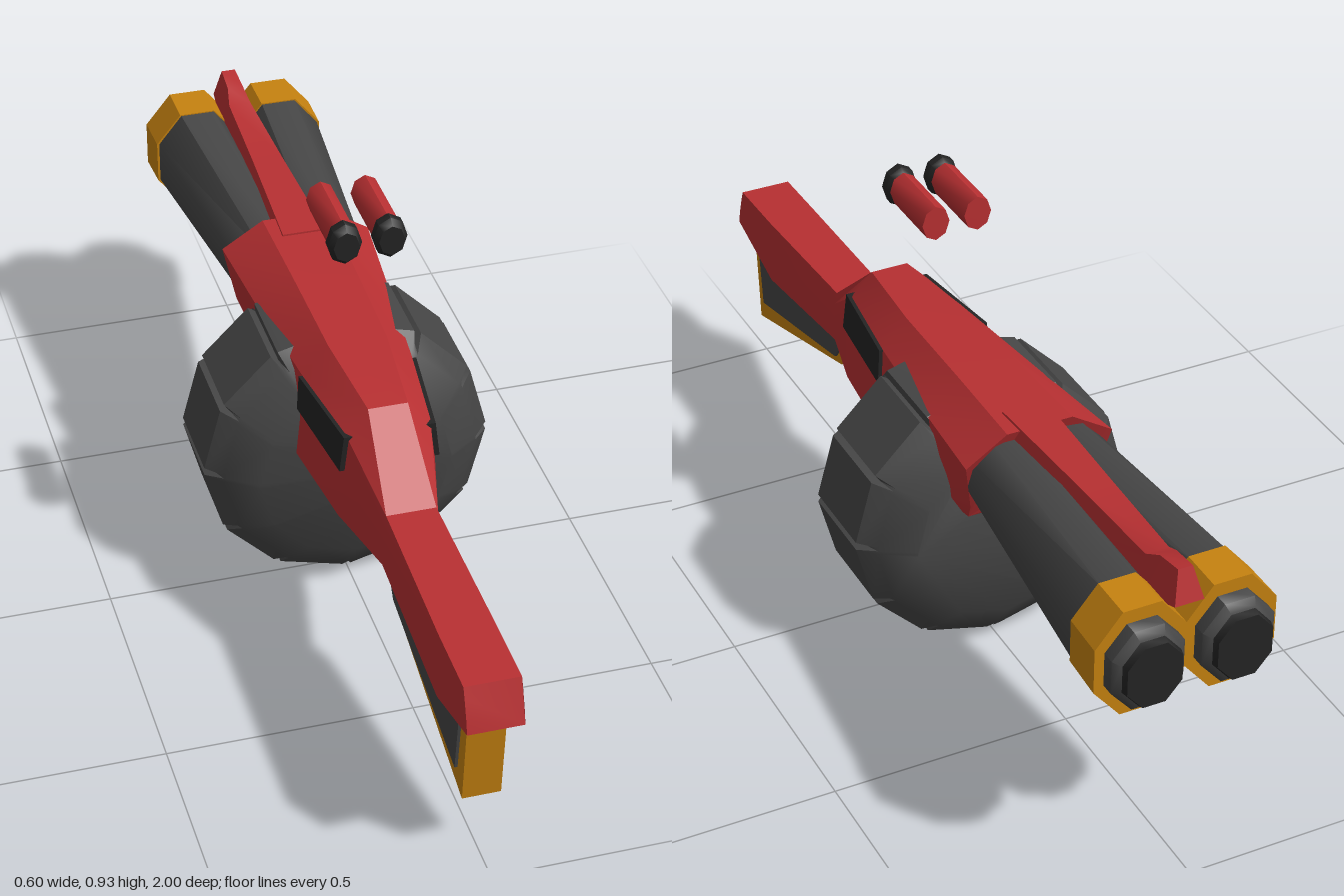
import * as THREE from 'three';
import { toCreasedNormals } from 'three/addons/utils/BufferGeometryUtils.js';

const mat = (name, color, side = THREE.FrontSide) => {
  const m = new THREE.MeshStandardMaterial({ color, side });
  m.name = name;
  return m;
};

// Skin a list of rings (counter-clockwise seen from +z, ordered from +z to -z), capped at both ends
function loft(rings, crease = 0.5) {
  const n = rings[0].length, index = [];
  for (let s = 0; s < rings.length - 1; s++) {
    for (let i = 0; i < n; i++) {
      const a = s * n + i, b = s * n + (i + 1) % n;
      index.push(a, a + n, b + n, a, b + n, b);
    }
  }
  const last = (rings.length - 1) * n;
  for (let i = 1; i < n - 1; i++) index.push(0, i, i + 1, last, last + i + 1, last + i);
  const g = new THREE.BufferGeometry();
  g.setAttribute('position', new THREE.Float32BufferAttribute(rings.flat(2), 3));
  g.setIndex(index);
  return toCreasedNormals(g, crease);
}

// Mirror half-section points [halfWidth, y, z], bottom to top, into a closed ring
const mirrored = (half) => [
  ...half,
  ...half.map(([w, y, z]) => [-w, y, z]).reverse(),
];

// Eight-sided oval ring; turn = 0.5 gives flat top and sides
function oval(cx, cy, rx, ry, z, turn = 0.5) {
  const k = turn ? 1 / Math.cos(Math.PI / 8) : 1;
  return Array.from({ length: 8 }, (_, i) => {
    const a = (i + turn) * Math.PI / 4;
    return [cx + rx * k * Math.cos(a), cy + ry * k * Math.sin(a), z];
  });
}

// Side outline of [z, y] points, given thickness across x
function sidePlate(points, halfWidth, hole) {
  const toV = ([z, y]) => new THREE.Vector2(-z, y);
  const shape = new THREE.Shape(points.map(toV));
  if (hole) shape.holes.push(new THREE.Path(hole.map(toV)));
  const g = new THREE.ExtrudeGeometry(shape, { depth: 2 * halfWidth, bevelEnabled: false });
  g.translate(0, 0, -halfWidth);
  g.rotateY(Math.PI / 2);
  return g;
}

export function createModel() {
  const red = mat('red', 0xb83032);
  const grey = mat('dark grey', 0x464646);
  const black = mat('black', 0x242424);
  const gold = mat('gold', 0xc68210);
  const root = new THREE.Group();
  const add = (name, geometry, material) => {
    const m = new THREE.Mesh(geometry, material);
    m.name = name;
    root.add(m);
    return m;
  };

  // Receiver and upper stock in one skin
  add('receiver', loft([
    [[0.055, 0.36, 1.0], [0.055, 0.39, 0.993], [0.055, 0.43, 0.98], [0.055, 0.45, 0.972]],
    [[0.055, 0.305, 0.82], [0.055, 0.36, 0.82], [0.055, 0.42, 0.82], [0.055, 0.453, 0.82]],
    [[0.057, 0.35, 0.47], [0.057, 0.40, 0.47], [0.055, 0.44, 0.47], [0.05, 0.465, 0.47]],
    [[0.10, 0.362, 0.31], [0.096, 0.47, 0.31], [0.086, 0.555, 0.31], [0.04, 0.603, 0.31]],
    [[0.127, 0.37, 0.1], [0.117, 0.47, 0.1], [0.113, 0.555, 0.1], [0.06, 0.616, 0.1]],
    [[0.12, 0.375, -0.15], [0.13, 0.47, -0.15], [0.138, 0.56, -0.15], [0.065, 0.622, -0.15]],
    [[0.10, 0.375, -0.265], [0.135, 0.46, -0.345], [0.157, 0.57, -0.37], [0.07, 0.625, -0.37]],
  ].map(mirrored)), red);

  // Top rib rising to the front sight
  add('topRib', loft([
    [[0.065, 0.55, -0.3], [0.045, 0.628, -0.3]],
    [[0.045, 0.55, -0.6], [0.032, 0.633, -0.6]],
    [[0.036, 0.56, -0.83], [0.024, 0.636, -0.83]],
    [[0.034, 0.57, -0.87], [0.017, 0.657, -0.87]],
    [[0.03, 0.6, -0.952], [0.015, 0.666, -0.932]],
  ].map(mirrored)), red);

  // Lower stock: gold frame with grey inlays
  add('stockFrame', sidePlate([[0.95, 0.35], [0.93, 0.145], [0.48, 0.275], [0.41, 0.36], [0.47, 0.39], [0.82, 0.34]], 0.038), gold);
  const inlay = [[0.918, 0.333], [0.9, 0.197], [0.502, 0.285], [0.455, 0.355], [0.82, 0.32]];
  add('stockInlay', sidePlate(inlay, 0.044), grey);

  // Trigger and its guard
  add('trigger', sidePlate([[0.41, 0.37], [0.36, 0.295], [0.26, 0.38]], 0.02), black);
  add('triggerGuard', sidePlate([
    [0.48, 0.315], [0.47, 0.285], [0.22, 0.228], [0.15, 0.247], [0.09, 0.37],
    [0.115, 0.37], [0.165, 0.268], [0.22, 0.252], [0.46, 0.308],
  ], 0.017), grey);

  for (const side of [1, -1]) {
    const label = side > 0 ? 'left' : 'right';
    // Dark side ports following the taper of the receiver
    const port = (z, low, high) => {
      const outer = [[low + 0.008, 0.478, z], [high + 0.008, 0.555, z]];
      const ring = [[low - 0.02, 0.478, z], ...outer, [high - 0.02, 0.555, z]];
      return side > 0 ? ring : ring.map(([x, y, zz]) => [-x, y, zz]).reverse();
    };
    add(label + 'Port', loft([port(0.325, 0.093, 0.084), port(0.1, 0.117, 0.113)]), black);

    // Flared barrel, gold muzzle band and muzzle plug
    add(label + 'Barrel', loft([
      oval(side * 0.058, 0.525, 0.072, 0.074, -0.28),
      oval(side * 0.092, 0.507, 0.088, 0.109, -0.86),
    ], 0.85), grey);
    add(label + 'MuzzleBand', loft([
      oval(side * 0.092, 0.507, 0.092, 0.111, -0.85),
      oval(side * 0.092, 0.503, 0.094, 0.115, -0.945),
    ], 0.5), gold);
    add(label + 'MuzzleRim', loft([
      oval(side * 0.092, 0.503, 0.074, 0.087, -0.93),
      oval(side * 0.092, 0.503, 0.074, 0.087, -0.972),
      oval(side * 0.092, 0.503, 0.062, 0.074, -0.985),
    ], 0.85), grey);
    add(label + 'MuzzlePlug', loft([
      oval(side * 0.092, 0.503, 0.06, 0.072, -0.98),
      oval(side * 0.092, 0.503, 0.056, 0.066, -1.0),
    ], 0.85), black);

    // Floating shell
    const sx = side * 0.045;
    add(label + 'Shell', loft([
      oval(sx, 0.89, 0.029, 0.037, 0.15, 0),
      oval(sx, 0.89, 0.029, 0.037, -0.008, 0),
    ], 0.85), red);
    add(label + 'ShellCap', loft([
      oval(sx, 0.89, 0.026, 0.032, 0.18, 0),
      oval(sx, 0.89, 0.034, 0.044, 0.167, 0),
      oval(sx, 0.89, 0.034, 0.044, 0.15, 0),
      oval(sx, 0.89, 0.029, 0.037, 0.14, 0),
    ], 0.85), black);
  }

  // Twelve-sided drum magazine with a groove at every corner
  const drumRing = (r, z, groove) => {
    const ring = [];
    for (let i = 0; i < 12; i++) {
      for (const j of [-1, 0, 1]) {
        const a = i * Math.PI / 6 + j * 0.028;
        const rr = r - (j === 0 ? groove : 0);
        ring.push([rr * Math.cos(a), 0.3 + rr * Math.sin(a), z]);
      }
    }
    return ring;
  };
  add('drumMagazine', loft([
    drumRing(0.2, 0.1, 0),
    drumRing(0.266, 0.052, 0),
    drumRing(0.298, 0.018, 0.018),
    drumRing(0.298, -0.165, 0.018),
    drumRing(0.266, -0.199, 0),
    drumRing(0.2, -0.245, 0),
  ], 0.65), grey);

  return root;
}
